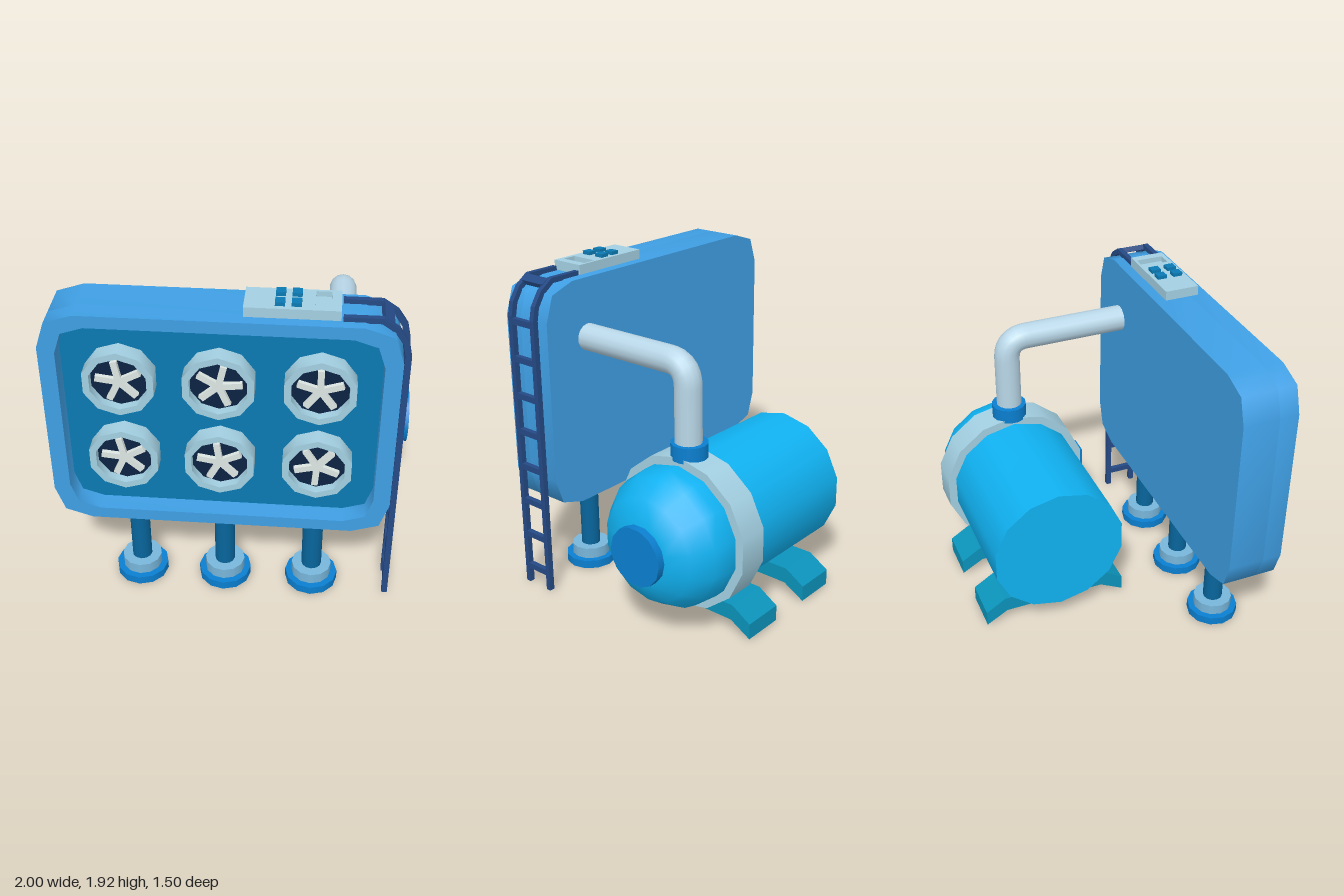
import * as THREE from 'three';
import { toCreasedNormals } from 'three/addons/utils/BufferGeometryUtils.js';

const mat = (color) => new THREE.MeshStandardMaterial({ color });
const M = {
  frame: mat(0x3f9fe4), floor: mat(0x0b7ab3), dark: mat(0x0b2342), pale: mat(0xa3d0e2),
  blade: mat(0xdde6e3), tank: mat(0x10b2f2), accent: mat(0x0a7fd0), saddle: mat(0x0b93bb),
  column: mat(0x07659c), collar: mat(0x78b6da), pipe: mat(0xb9d7e8), ladder: mat(0x254a85),
};

function createModel() {
  const model = new THREE.Group();

  const add = (name, geo, material, x = 0, y = 0, z = 0, parent = model) => {
    const mesh = new THREE.Mesh(geo, material);
    mesh.name = name;
    mesh.position.set(x, y, z);
    parent.add(mesh);
    return mesh;
  };
  const box = (name, w, h, d, material, x, y, z, parent) =>
    add(name, new THREE.BoxGeometry(w, h, d), material, x, y, z, parent);
  const extrude = (shape, depth, curveSegments = 2) => toCreasedNormals(
    new THREE.ExtrudeGeometry(shape, { depth, bevelEnabled: false, curveSegments }), 1);
  const lathe = (pts, sides, start = 0) => toCreasedNormals(
    new THREE.LatheGeometry(pts.map(([r, y]) => new THREE.Vector2(r, y)), sides, start), 0.7);
  const polygon = (pts) => new THREE.Shape(pts.map(([x, y]) => new THREE.Vector2(x, y)));

  // Rectangle with cut corners, used for the cabinet and its recess
  const rounded = (x0, y0, x1, y1, r) => {
    const s = new THREE.Shape();
    s.moveTo(x0 + r, y0);
    s.lineTo(x1 - r, y0).quadraticCurveTo(x1, y0, x1, y0 + r);
    s.lineTo(x1, y1 - r).quadraticCurveTo(x1, y1, x1 - r, y1);
    s.lineTo(x0 + r, y1).quadraticCurveTo(x0, y1, x0, y1 - r);
    s.lineTo(x0, y0 + r).quadraticCurveTo(x0, y0, x0 + r, y0);
    return s;
  };

  // Cabinet: solid back, raised rim, recessed floor
  const outline = () => rounded(-1, 0.52, 0.85, 1.85, 0.2);
  const recess = () => rounded(-0.91, 0.59, 0.76, 1.78, 0.16);
  add('cabinetBack', extrude(outline(), 0.21), M.frame, 0, 0, 0.43);
  const rim = outline();
  rim.holes.push(recess());
  add('cabinetRim', extrude(rim, 0.11), M.frame, 0, 0, 0.64);
  add('recessFloor', new THREE.ShapeGeometry(recess(), 2), M.floor, 0, 0, 0.642);

  // Six fans, each turned to its own angle
  const ringGeo = lathe([[0.195, 0], [0.195, 0.1], [0.157, 0.1], [0.157, 0]], 10).rotateX(Math.PI / 2);
  const hubGeo = new THREE.CylinderGeometry(0.16, 0.16, 0.05, 10).rotateX(Math.PI / 2);
  const bladeGeo = new THREE.BoxGeometry(0.125, 0.035, 0.025).translate(0.0625, 0, 0);
  const turns = [[28, 5, 18], [30, 26, 50]];
  [1.435, 0.935].forEach((y, row) => [-0.6, -0.08, 0.445].forEach((x, col) => {
    const fan = new THREE.Group();
    fan.name = 'fan';
    fan.position.set(x, y, 0.64);
    add('fanRing', ringGeo, M.pale, 0, 0, 0, fan);
    add('fanBacking', hubGeo, M.dark, 0, 0, 0.025, fan);
    for (let i = 0; i < 5; i++) {
      const blade = add('fanBlade', bladeGeo, M.blade, 0, 0, 0.065, fan);
      blade.rotation.z = THREE.MathUtils.degToRad(turns[row][col] + i * 72);
    }
    model.add(fan);
  }));

  // Three legs with stepped feet
  for (const x of [-0.565, -0.07, 0.44]) {
    const leg = new THREE.Group();
    leg.name = 'leg';
    leg.position.set(x, 0, 0.595);
    add('legColumn', new THREE.CylinderGeometry(0.058, 0.058, 0.5, 12), M.column, 0, 0.33, 0, leg);
    add('legCollar', new THREE.CylinderGeometry(0.115, 0.115, 0.07, 12), M.collar, 0, 0.08, 0, leg);
    add('legFoot', new THREE.CylinderGeometry(0.152, 0.152, 0.05, 12), M.accent, 0, 0.025, 0, leg);
    model.add(leg);
  }

  // Tank lying along x, with a domed end, a band and an end plate
  const tank = new THREE.Group();
  tank.name = 'tank';
  tank.position.set(0, 0.56, -0.31);
  const alongX = (geo) => geo.rotateZ(-Math.PI / 2);
  add('tankShell', alongX(lathe([[0, -0.33], [0.4, -0.33], [0.4, 0.64], [0.4, 0.71],
    [0.38, 0.79], [0.3, 0.9], [0.175, 0.955], [0, 0.955]], 14, Math.PI / 2)), M.tank, 0, 0, 0, tank);
  add('tankBand', alongX(new THREE.CylinderGeometry(0.45, 0.45, 0.18, 14, 1, false, Math.PI / 2)),
    M.pale, 0.55, 0, 0, tank);
  add('endPlate', alongX(new THREE.CylinderGeometry(0.17, 0.17, 0.06, 14)), M.accent, 0.97, 0, 0, tank);
  box('bandPlug', 0.12, 0.12, 0.06, M.accent, 0.56, 0, 0.44, tank);
  model.add(tank);

  // Arched saddles under the tank
  const saddle = polygon([[-0.145, 0.01], [-0.005, 0.085], [0.61, 0.085], [0.74, 0.01],
    [0.74, 0.105], [0.62, 0.18], [-0.02, 0.18], [-0.145, 0.105]]);
  const saddleGeo = new THREE.ExtrudeGeometry(saddle, { depth: 0.25, bevelEnabled: false })
    .rotateY(Math.PI / 2);
  for (const x of [-0.2, 0.31]) add('saddle', saddleGeo, M.saddle, x);

  // Pipe from the tank into the back of the cabinet
  const v = (y, z) => new THREE.Vector3(0.548, y, z);
  const path = new THREE.CurvePath();
  path.add(new THREE.LineCurve3(v(1.03, -0.305), v(1.38, -0.305)));
  path.add(new THREE.QuadraticBezierCurve3(v(1.38, -0.305), v(1.51, -0.305), v(1.51, -0.18)));
  path.add(new THREE.LineCurve3(v(1.51, -0.18), v(1.51, 0.45)));
  add('pipe', new THREE.TubeGeometry(path, 40, 0.077, 14), M.pipe);
  add('pipeCollar', new THREE.CylinderGeometry(0.105, 0.105, 0.09, 14), M.accent, 0.545, 1.025, -0.308);

  // Ladder: two rails bending over the top corner, joined by rungs
  const ladder = new THREE.Group();
  ladder.name = 'ladder';
  const rail = polygon([[0.857, 0], [0.89, 0], [0.89, 1.66], [0.873, 1.74], [0.82, 1.82],
    [0.74, 1.875], [0.54, 1.875], [0.54, 1.845], [0.73, 1.845], [0.8, 1.795], [0.842, 1.73], [0.857, 1.66]]);
  const railGeo = new THREE.ExtrudeGeometry(rail, { depth: 0.03, bevelEnabled: false });
  for (const z of [0.492, 0.665]) add('ladderRail', railGeo, M.ladder, 0, 0, z, ladder);
  for (let i = 0; i < 8; i++) {
    box('ladderRung', 0.03, 0.035, 0.16, M.ladder, 0.873, 0.11 + i * 0.2178, 0.593, ladder);
  }
  const topRung = box('ladderRung', 0.055, 0.03, 0.16, M.ladder, 0.762, 1.845, 0.593, ladder);
  topRung.rotation.z = -0.5;
  model.add(ladder);

  // Control box on top, with four buttons and a sunken slot
  const panel = new THREE.Group();
  panel.name = 'controlBox';
  const lid = polygon([[0.045, -0.69], [0.53, -0.69], [0.53, -0.49], [0.045, -0.49]]);
  lid.holes.push(polygon([[0.4, -0.665], [0.4, -0.505], [0.48, -0.505], [0.48, -0.665]]));
  add('controlLid', extrude(lid, 0.035).rotateX(-Math.PI / 2), M.pale, 0, 1.87, 0, panel);
  box('controlBase', 0.485, 0.03, 0.2, M.pale, 0.2875, 1.86, 0.59, panel);
  for (const x of [0.225, 0.308]) {
    for (const z of [0.54, 0.637]) box('button', 0.05, 0.03, 0.055, M.floor, x, 1.91, z, panel);
  }
  model.add(panel);

  return model;
}

export { createModel };
